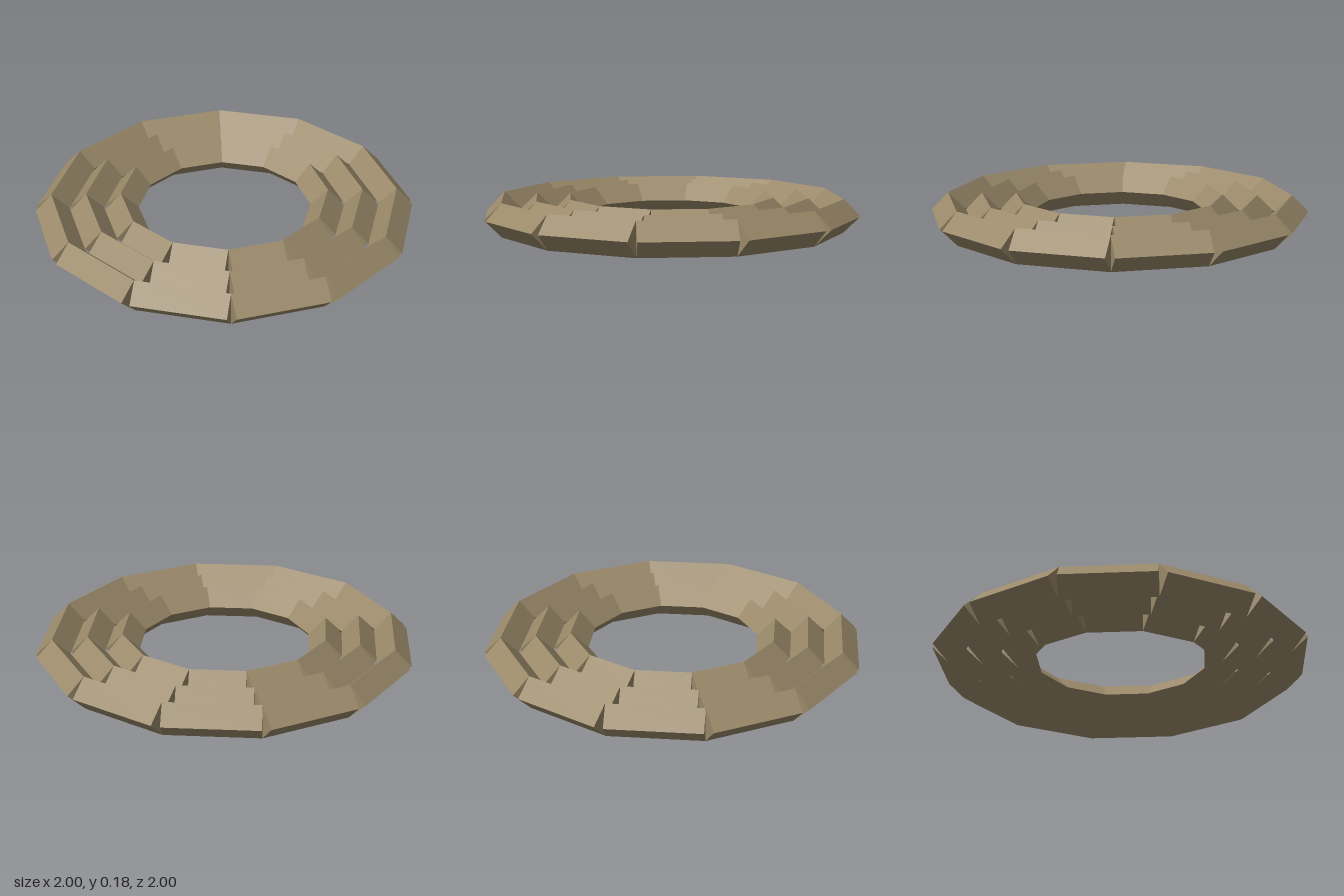
import * as THREE from 'three';

const SIDES = 12;
const HALF_ANGLE = Math.PI / SIDES;
const OUTER_RADIUS = 0.9147; // ridge corner radius of the largest ring
const BAR = 0.1 * OUTER_RADIUS * Math.cos(HALF_ANGLE); // half diagonal of a bar

// One ring of straight, square bars standing on edge, meeting along their ridges
function makeRing(name, radius, material) {
  const ring = new THREE.Group();
  ring.name = name;
  const length = 2 * radius * Math.sin(HALF_ANGLE);
  const apothem = radius * Math.cos(HALF_ANGLE);
  const bar = new THREE.CylinderGeometry(BAR, BAR, length, 4)
    .rotateZ(Math.PI / 2)
    .translate(0, BAR, apothem);
  for (let i = 0; i < SIDES; i++) {
    const segment = new THREE.Mesh(bar, material);
    segment.name = `${name}Bar${i + 1}`;
    segment.rotation.y = (2 * i + 1) * HALF_ANGLE;
    ring.add(segment);
  }
  return ring;
}

export function createModel() {
  const model = new THREE.Group();
  model.name = 'concentricRings';
  const material = new THREE.MeshStandardMaterial({ color: 0x9b8a6a, flatShading: true });

  // Three nested rings whose bars touch edge to edge
  ['outerRing', 'middleRing', 'innerRing'].forEach((name, i) => {
    model.add(makeRing(name, OUTER_RADIUS * (1 - 0.2 * i), material));
  });
  return model;
}
